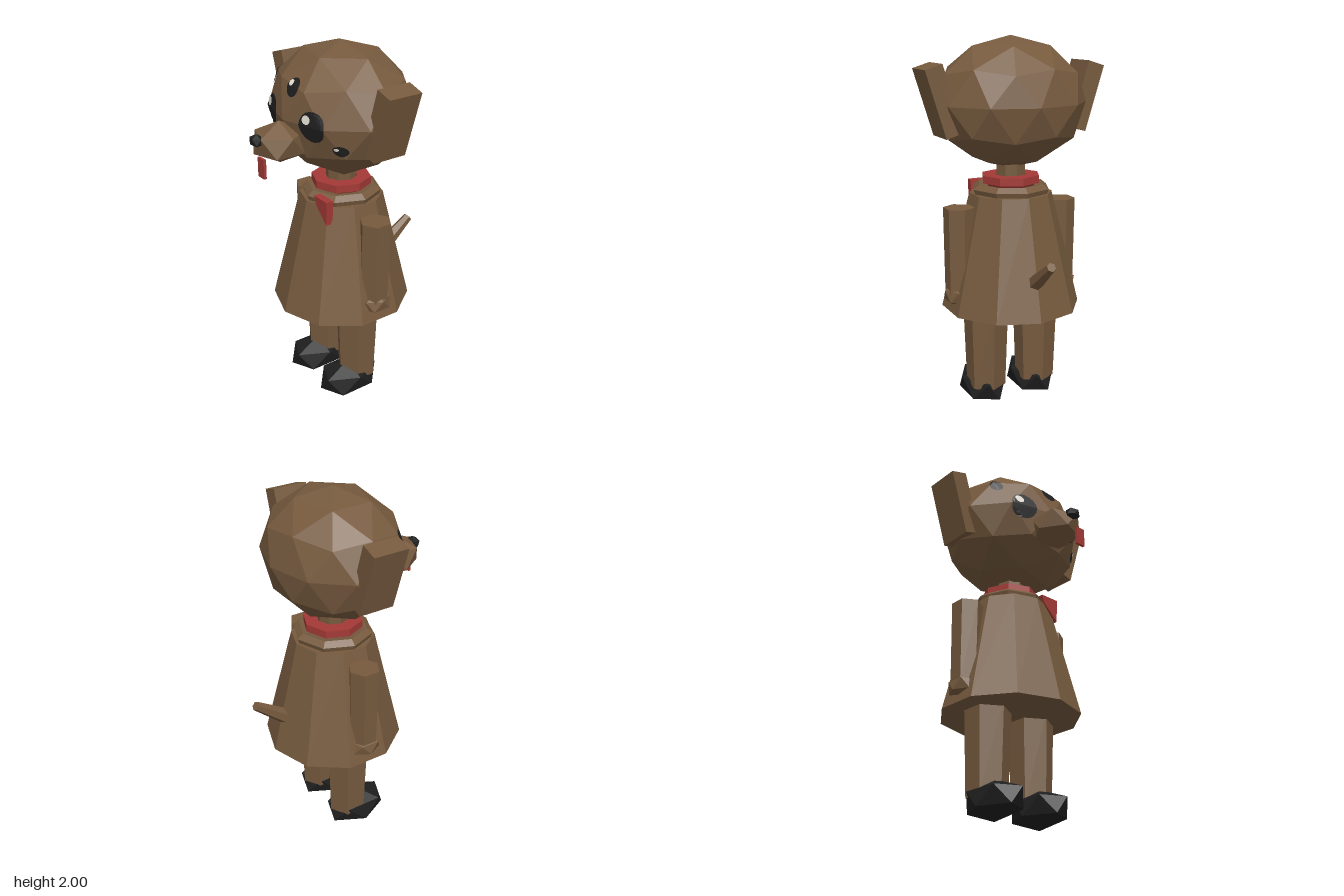
import * as THREE from 'three';

const flat = (name, color) => {
  const m = new THREE.MeshStandardMaterial({ color, flatShading: true });
  m.name = name;
  return m;
};

export function createModel() {
  const fur = flat('brown fur', 0x765a3e);
  const red = flat('red cloth', 0xa33a36);
  const black = flat('black', 0x1f1f20);
  const white = flat('eye shine', 0xe6e2d8);
  const group = new THREE.Group();
  const CZ = -0.023; // depth of the body axis

  const add = (name, geo, mat, x = 0, y = 0, z = 0) => {
    const m = new THREE.Mesh(geo, mat);
    m.name = name;
    m.position.set(x, y, z);
    group.add(m);
    return m;
  };

  // Icosphere standing on a vertex, stretched to the given radii
  const ico = (rx, ry, rz, detail = 0) =>
    new THREE.IcosahedronGeometry(1, detail)
      .rotateX(-Math.atan((1 + Math.sqrt(5)) / 2))
      .rotateY(Math.PI / 2)
      .scale(rx, ry, rz);

  // Tapered prism between two heights
  const prism = (rTop, rBottom, y0, y1, sides) =>
    new THREE.CylinderGeometry(rTop, rBottom, y1 - y0, sides).translate(0, (y0 + y1) / 2, 0);

  // Closed ring from a cross-section of [radius, height] points
  const ring = (pts, sides) =>
    new THREE.LatheGeometry([...pts, pts[0]].map(p => new THREE.Vector2(...p)), sides);

  // Head, muzzle and nose
  const head = add('head', ico(0.405, 0.34, 0.351, 1).translate(0, 1.66, CZ), fur);
  add('muzzle', ico(0.14, 0.108, 0.15), fur, 0, 1.552, 0.348);
  add('nose', ico(0.045, 0.034, 0.036), black, 0, 1.585, 0.476);
  add('tongue', new THREE.BoxGeometry(0.055, 0.1, 0.014), red, 0.045, 1.46, 0.478);

  // Eyes: thin discs laid onto the facets of the head
  const ray = new THREE.Raycaster();
  const back = new THREE.Vector3(0, 0, -1);
  const decal = (name, x, y, rx, ry, mat, lift) => {
    const geo = new THREE.RingGeometry(0, 1, 18, 6).scale(rx, ry, 1).translate(x, y, 0);
    const pos = geo.attributes.position;
    for (let i = 0; i < pos.count; i++) {
      ray.set(new THREE.Vector3(pos.getX(i), pos.getY(i), 2), back);
      const hit = ray.intersectObject(head)[0];
      const p = hit.point.addScaledVector(hit.face.normal, lift);
      pos.setXYZ(i, p.x, p.y, p.z);
    }
    geo.computeVertexNormals();
    add(name, geo, mat);
  };
  const eyes = [
    [-0.165, 1.66, 0.071, 0.075],
    [0.172, 1.66, 0.071, 0.075],
    [0.018, 1.813, 0.046, 0.042],
    [-0.277, 1.787, 0.027, 0.036],
    [0.28, 1.553, 0.029, 0.027],
  ];
  eyes.forEach(([x, y, rx, ry], i) => {
    decal('eye', x, y, rx, ry, black, 0.005);
    if (i !== 3) decal('eyeShine', x - rx * 0.38, y + ry * 0.42, rx * 0.33, ry * 0.3, white, 0.009);
  });

  // Neck, collar and scarf
  add('neck', prism(0.08, 0.08, 1.15, 1.4, 8), fur, 0, 0, CZ);
  add('collar', ring([[0.13, 1.18], [0.2, 1.18], [0.212, 1.215], [0.18, 1.24], [0.13, 1.23]], 8), fur, 0, 0, CZ);
  add('scarf', ring([[0.085, 1.215], [0.115, 1.215], [0.135, 1.24], [0.158, 1.245], [0.158, 1.285], [0.085, 1.285]], 8), red, 0, 0, CZ);
  const tip = new THREE.Shape([[0.05, 1.235], [0.065, 1.19], [0.155, 1.105], [0.16, 1.235]].map(p => new THREE.Vector2(...p)));
  const tipGeo = new THREE.ExtrudeGeometry(tip, { depth: 0.04, bevelEnabled: false });
  add('scarfTip', tipGeo, red, 0, 0, 0.143);

  // Flared body
  add('body', prism(0.22, 0.373, 0.57, 1.19, 10), fur, 0, 0, CZ);

  // Paired parts
  for (const s of [1, -1]) {
    const side = s > 0 ? 'left' : 'right';
    const ear = add(side + 'Ear', new THREE.BoxGeometry(0.095, 0.357, 0.19), fur, s * 0.4, 1.684, -0.025);
    ear.rotation.z = -s * 0.3;
    add(side + 'Arm', prism(0.083, 0.078, 0.67, 1.13, 6), fur, s * 0.296, 0, CZ);
    add(side + 'Hand', ico(0.07, 0.062, 0.094), fur, s * 0.318, 0.66, CZ);
    add(side + 'Leg', prism(0.124, 0.106, 0.12, 0.62, 6), fur, s * 0.148, 0, CZ);
    add(side + 'Foot', ico(0.131, 0.104, 0.192), black, s * 0.148, 0.104, 0.034);
  }

  // Tail
  const tail = add('tail', new THREE.CylinderGeometry(0.025, 0.05, 0.29, 6), fur, 0, 0.81, -0.38);
  tail.rotation.x = -0.93;

  return group;
}
